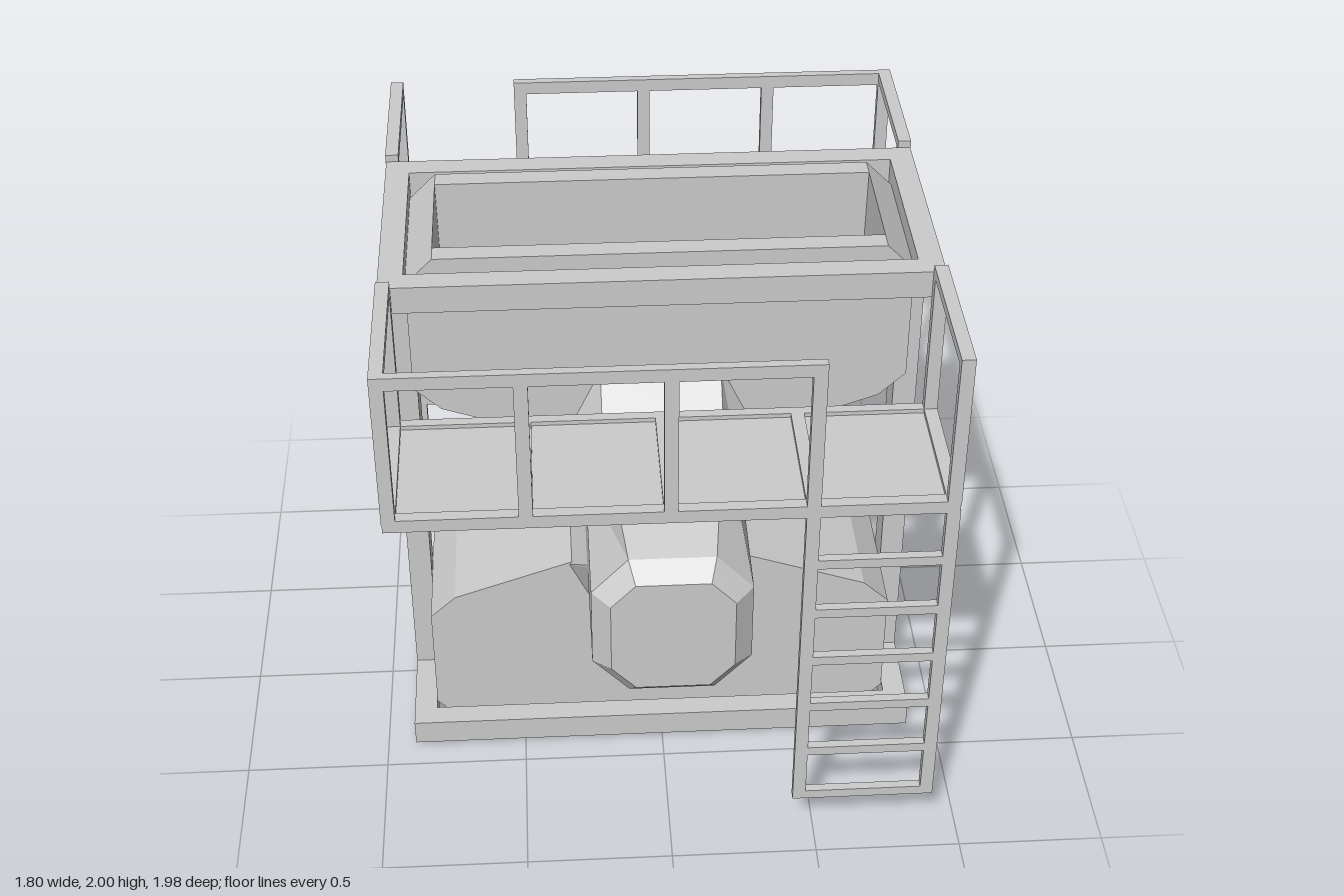
import * as THREE from 'three';
import { ConvexGeometry } from 'three/addons/geometries/ConvexGeometry.js';

const mat = new THREE.MeshStandardMaterial({ color: 0xcccccc, flatShading: true, side: THREE.DoubleSide });
const MID = 1.003; // height of the drum axis

function add(parent, name, geometry) {
  const mesh = new THREE.Mesh(geometry, mat);
  mesh.name = name;
  parent.add(mesh);
  return mesh;
}

// Box given by its low and high limits on each axis
function bar(parent, name, x0, x1, y0, y1, z0, z1) {
  const mesh = add(parent, name, new THREE.BoxGeometry(x1 - x0, y1 - y0, z1 - z0));
  mesh.position.set((x0 + x1) / 2, (y0 + y1) / 2, (z0 + z1) / 2);
  return mesh;
}

// Outline in x and y, extruded from z0 to z1
function slab(parent, name, points, z0, z1) {
  const shape = new THREE.Shape(points.map(([x, y]) => new THREE.Vector2(x, y)));
  const geometry = new THREE.ExtrudeGeometry(shape, { depth: z1 - z0, bevelEnabled: false });
  geometry.translate(0, 0, z0);
  return add(parent, name, geometry);
}

// Right half of an outline plus its mirror image
const mirrored = (half) => [...half, ...half.slice().reverse().map(([x, y]) => [-x, y])];

// Rectangular ring lying flat
function ringFrame(parent, name, y0, y1) {
  const frame = new THREE.Group();
  frame.name = name;
  for (const s of [-1, 1]) {
    bar(frame, 'longBeam', -0.9, 0.9, y0, y1, s * 0.36 - 0.04, s * 0.36 + 0.04);
    bar(frame, 'endBeam', s * 0.86 - 0.04, s * 0.86 + 0.04, y0, y1, -0.32, 0.32);
  }
  parent.add(frame);
}

// Faceted cross drum: rings [z, top, shoulder, side], mirrored in x and about the axis
function drumGeometry() {
  const half = [
    [0.99, [0.12, 0.215], [0.2, 0.13], [0.2, 0.125]],
    [0.93, [0.14, 0.275], [0.26, 0.145], [0.26, 0.14]],
    [0.4, [0.2, 0.405], [0.26, 0.19], [0.26, 0.18]],
    [0.27, [0.2, 0.54], [0.32, 0.285], [0.26, 0.185]],
  ];
  const sections = [...half, ...half.slice().reverse().map(([z, ...p]) => [-z, ...p])];
  const rings = sections.map(([z, top, shoulder, side]) => {
    const q = [side, shoulder, top];
    const upper = [...q, ...q.slice().reverse().map(([x, y]) => [-x, y])];
    return [...upper, ...upper.map(([x, y]) => [-x, -y])].map(([x, y]) => [x, MID + y, z]);
  });
  const out = [];
  const n = rings[0].length;
  for (let i = 0; i < rings.length - 1; i++) {
    for (let j = 0; j < n; j++) {
      const k = (j + 1) % n;
      const [a, b, c, d] = [rings[i][j], rings[i][k], rings[i + 1][k], rings[i + 1][j]];
      out.push(...a, ...d, ...c, ...a, ...c, ...b);
    }
  }
  const last = rings[rings.length - 1];
  for (let j = 1; j < n - 1; j++) {
    out.push(...rings[0][0], ...rings[0][j], ...rings[0][j + 1]);
    out.push(...last[0], ...last[j + 1], ...last[j]);
  }
  const geometry = new THREE.BufferGeometry();
  geometry.setAttribute('position', new THREE.Float32BufferAttribute(out, 3));
  geometry.computeVertexNormals();
  return geometry;
}

// Platform with railing and ladder, on the front side
function accessPlatform() {
  const g = new THREE.Group();
  g.name = 'accessPlatform';
  const posts = [-0.88, -0.455, -0.005, 0.44, 0.88];
  // Deck
  bar(g, 'deckPanel', -0.88, 0.88, 1.43, 1.45, 0.41, 0.92);
  bar(g, 'deckOuterBeam', -0.9, 0.9, 1.42, 1.465, 0.89, 0.93);
  bar(g, 'deckInnerBeam', -0.9, 0.9, 1.42, 1.465, 0.4, 0.435);
  for (const x of posts) bar(g, 'deckCrossBeam', x - 0.022, x + 0.022, 1.42, 1.465, 0.42, 0.91);
  // Railing, open in front of the ladder
  for (const x of posts) bar(g, 'railPost', x - 0.022, x + 0.022, 1.45, 2, 0.9, 0.93);
  bar(g, 'frontRail', -0.9, 0.462, 1.955, 2, 0.9, 0.93);
  for (const x of [-0.88, 0.88]) {
    bar(g, 'innerPost', x - 0.022, x + 0.022, 1.45, 2, 0.4, 0.435);
    bar(g, 'sideRail', x - 0.022, x + 0.022, 1.967, 2, 0.4, 0.93);
  }
  // Ladder
  for (const x of [0.44, 0.88]) bar(g, 'ladderStile', x - 0.022, x + 0.022, 0.185, 1.43, 0.9, 0.93);
  for (let i = 0; i < 6; i++) {
    const y = 0.185 + i * 0.205;
    bar(g, 'ladderRung', 0.44, 0.88, y, y + 0.035, 0.9, 0.93);
  }
  return g;
}

export function createModel() {
  const model = new THREE.Group();
  model.name = 'processingMachine';

  // Base, top frame and end columns
  ringFrame(model, 'baseFrame', 0.01, 0.105);
  ringFrame(model, 'topFrame', 1.88, 1.975);
  for (const x of [-0.86, 0.86]) bar(model, 'endColumn', x - 0.04, x + 0.04, 0.1, 1.89, -0.06, 0.06);

  // Solid lower housing
  const lower = [[0.73, 0], [0.82, 0.09], [0.82, 0.5], [0.73, 0.585], [0.3, 0.735]];
  slab(model, 'lowerHousing', mirrored(lower), -0.27, 0.27);

  // Upper hopper: two side walls and a hollow middle
  const upper = lower.map(([x, y]) => [x, 2 * MID - 0.01 - y]);
  const hopper = new THREE.Group();
  hopper.name = 'upperHopper';
  for (const z of [-0.27, 0.2]) slab(hopper, 'hopperSideWall', mirrored(upper), z, z + 0.07);
  const floor = [...upper, [0.0, 1.288], [0.0, 1.36], [0.28, 1.37], [0.725, 1.53]];
  for (const s of [-1, 1]) {
    slab(hopper, 'hopperEndFloor', floor.map(([x, y]) => [s * x, y]), -0.2, 0.2);
    // Sloped fillets in the corners of the hopper floor
    for (const t of [-1, 1]) {
      const corner = [[0.73, 1.525, 0.1], [0.73, 1.525, 0.205], [0.37, 1.4, 0.205], [0.73, 1.7, 0.205]];
      add(hopper, 'hopperFillet', new ConvexGeometry(corner.map(([x, y, z]) => new THREE.Vector3(s * x, y, t * z))));
    }
  }
  model.add(hopper);

  // Drum crossing between the housings
  add(model, 'crossDrum', drumGeometry());

  // Front platform and its half-turn copy at the back
  const front = accessPlatform();
  const back = accessPlatform();
  back.rotation.y = Math.PI;
  model.add(front, back);
  return model;
}
